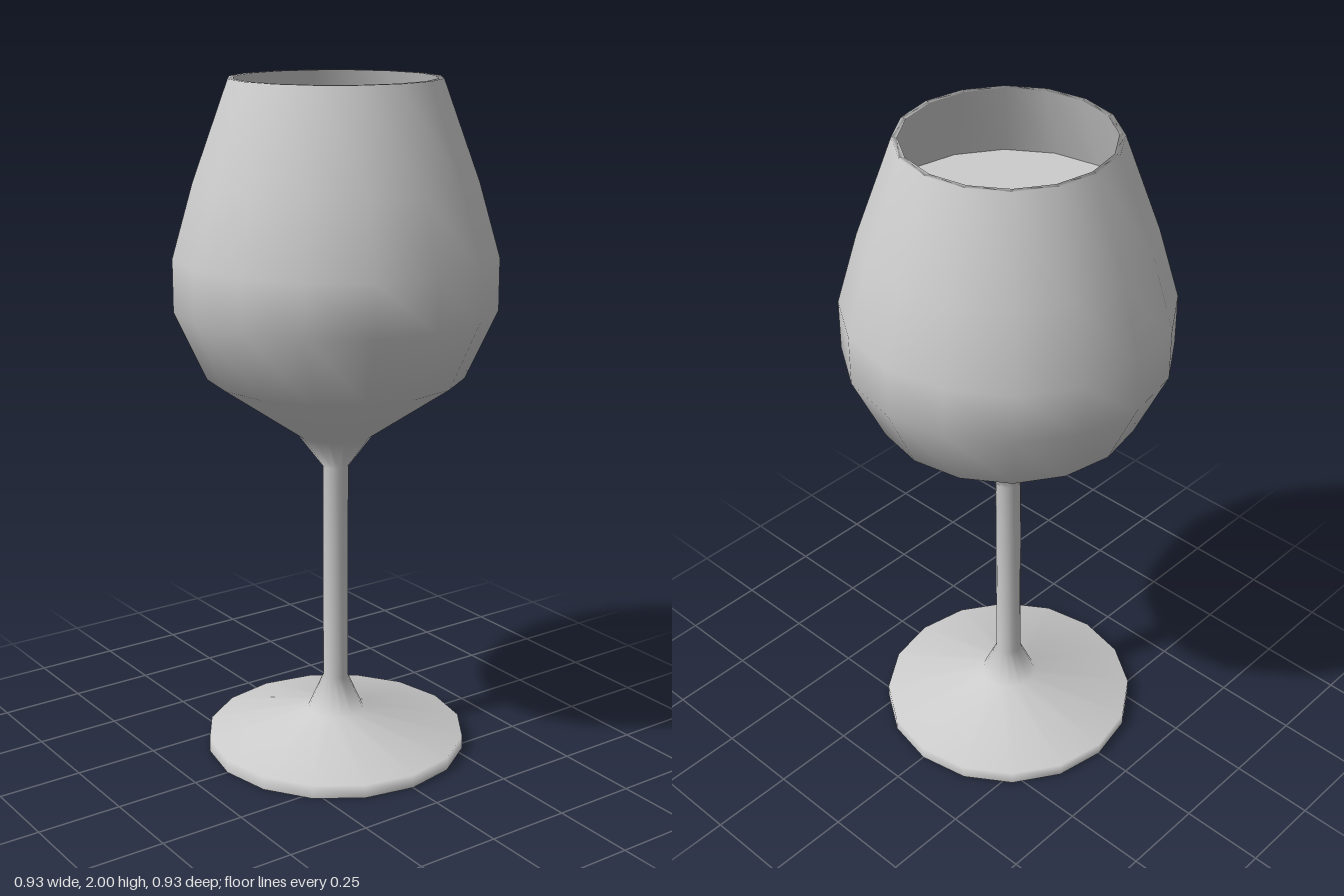
import * as THREE from 'three';

const SIDES = 16;
const material = new THREE.MeshStandardMaterial({ color: 0xcccccc });

// Revolves a [radius, height] profile around the y axis
function turned(name, profile) {
  const points = profile.map(([r, y]) => new THREE.Vector2(r, y));
  const mesh = new THREE.Mesh(new THREE.LatheGeometry(points, SIDES), material);
  mesh.name = name;
  return mesh;
}

export function createModel() {
  const group = new THREE.Group();
  group.name = 'wineGlass';

  // Flat underside, kept separate so its edge stays sharp
  group.add(turned('footUnderside', [[0, 0], [0.39, 0]]));

  // Foot, stem and bowl in one smooth outline, over the rim and down the inside
  group.add(turned('glass', [
    [0.39, 0], [0.39, 0.04], [0.085, 0.108], [0.038, 0.215],
    [0.038, 0.88], [0.113, 0.98], [0.375, 1.16], [0.466, 1.36],
    [0.466, 1.51], [0.405, 1.72], [0.302, 2],
    [0.286, 2], [0.389, 1.72], [0.45, 1.51], [0.45, 1.365],
    [0.363, 1.175], [0.11, 1.0], [0, 0.97],
  ]));

  // Surface of the drink
  const drink = new THREE.Mesh(new THREE.CircleGeometry(0.37, SIDES).rotateX(-Math.PI / 2), material);
  drink.name = 'drinkSurface';
  drink.position.y = 1.775;
  group.add(drink);

  return group;
}
